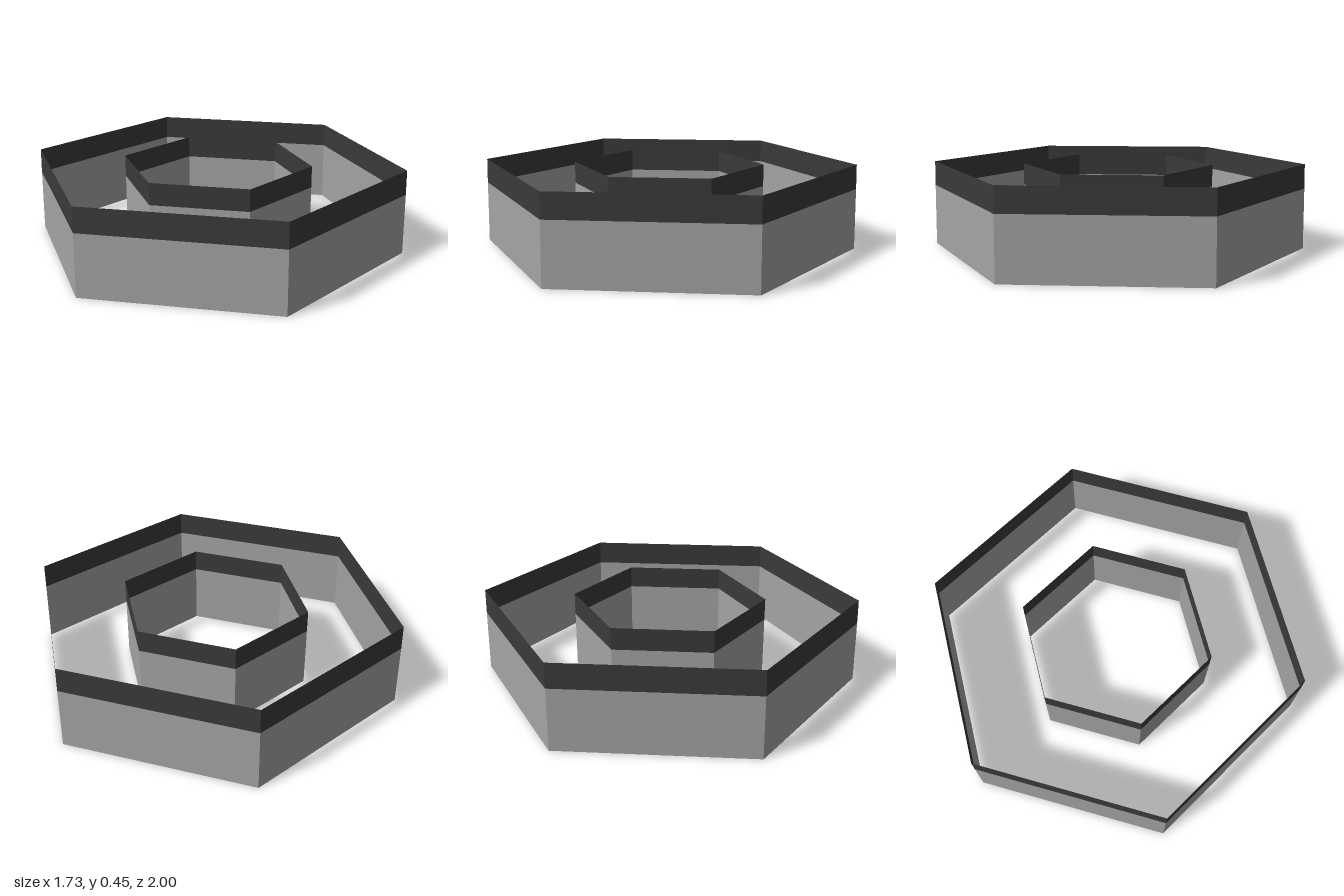
import * as THREE from 'three';

const material = (name, color) => {
  const m = new THREE.MeshStandardMaterial({ color, flatShading: true, side: THREE.DoubleSide });
  m.name = name;
  return m;
};

export function createModel() {
  const model = new THREE.Group();
  model.name = 'hexagonalRings';
  const lightGrey = material('lightGrey', 0xa4a4a4);
  const darkGrey = material('darkGrey', 0x3a3a3a);

  // Thin open hexagonal band with corners on the z axis
  const band = (name, bottomRadius, topRadius, y0, y1, mat) => {
    const geometry = new THREE.CylinderGeometry(topRadius, bottomRadius, y1 - y0, 6, 1, true);
    const mesh = new THREE.Mesh(geometry, mat);
    mesh.name = name;
    mesh.position.y = (y0 + y1) / 2;
    return mesh;
  };

  // Each ring is a light wall with a dark rim above it
  const ring = (name, r0, r1, r2, bottom, seam, top) => {
    const group = new THREE.Group();
    group.name = name;
    group.add(
      band(name + 'Wall', r0, r1, bottom, seam, lightGrey),
      band(name + 'Rim', r1, r2, seam, top, darkGrey),
    );
    model.add(group);
  };

  ring('outerRing', 1, 0.997, 0.995, 0, 0.325, 0.455);
  ring('innerRing', 0.508, 0.508, 0.508, 0.01, 0.332, 0.448);

  return model;
}
